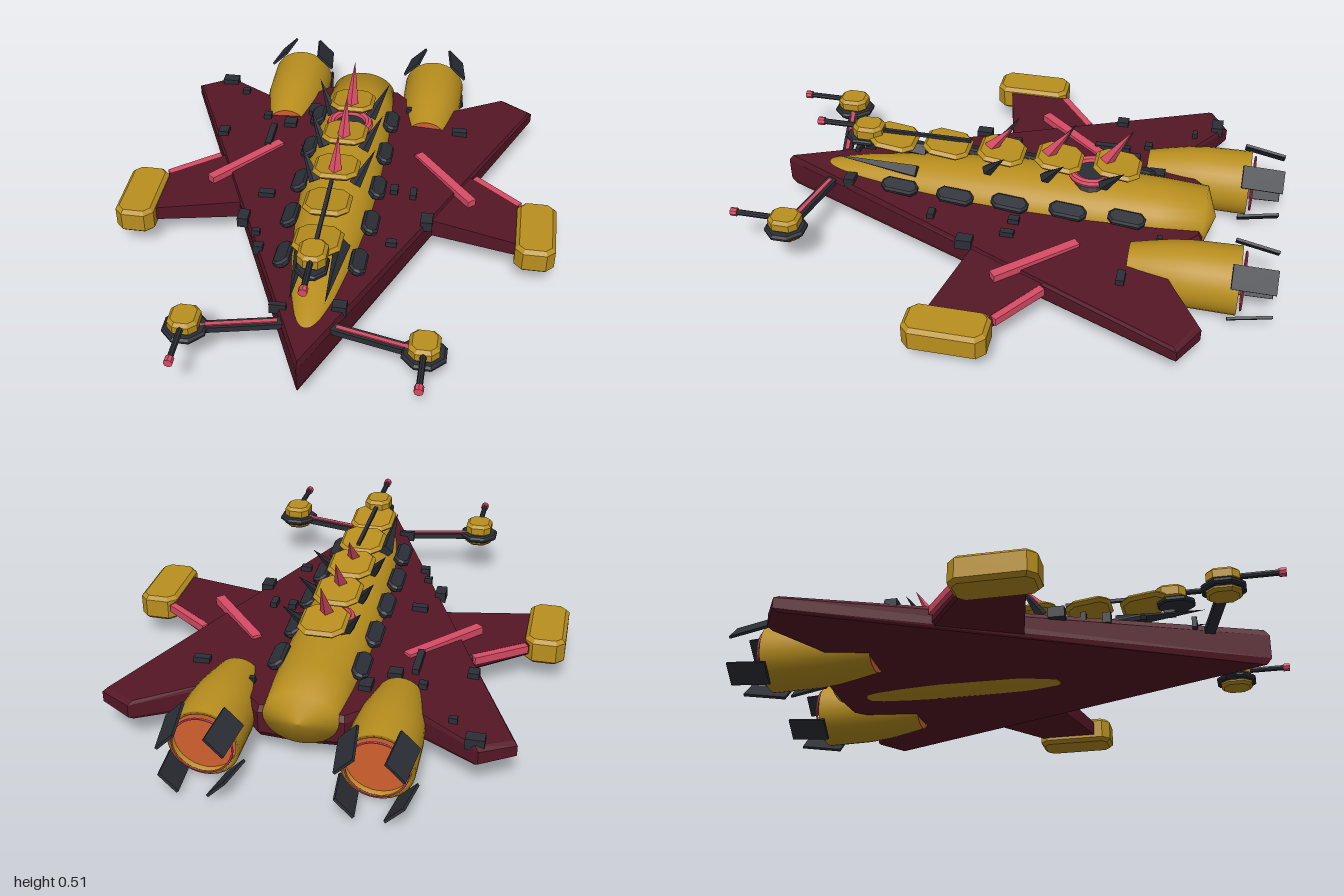
import * as THREE from 'three';

const mat = (color, extra = {}) => new THREE.MeshStandardMaterial({ color, ...extra });
const maroon = mat(0x551726, { flatShading: true });
const gold = mat(0xb98f1e, { flatShading: true });
const smoothGold = mat(0xb98f1e, { side: THREE.DoubleSide });
const dark = mat(0x2b2e36, { flatShading: true });
const pink = mat(0xd94c66, { flatShading: true });
const orange = mat(0xd0602f, { side: THREE.DoubleSide });
const V = (x, y, z) => new THREE.Vector3(x, y, z);

export function createModel() {
  const root = new THREE.Group();

  const add = (name, geo, material, x = 0, y = 0, z = 0, parent = root) => {
    const m = new THREE.Mesh(geo, material);
    m.name = name;
    m.position.set(x, y, z);
    parent.add(m);
    return m;
  };
  const box = (name, m, w, h, d, x, y, z) => add(name, new THREE.BoxGeometry(w, h, d), m, x, y, z);

  // Straight bar between two points
  const bar = (name, m, a, b, w, h) => {
    const mesh = add(name, new THREE.BoxGeometry(w, h, a.distanceTo(b)), m);
    mesh.position.copy(a).lerp(b, 0.5);
    mesh.lookAt(b);
    return mesh;
  };
  // Cone or rod from a to b
  const rod = (name, m, a, b, r0, r1, sides = 4) => {
    const g = new THREE.CylinderGeometry(r1, r0, a.distanceTo(b), sides).rotateX(Math.PI / 2);
    const mesh = add(name, g, m);
    mesh.position.copy(a).lerp(b, 0.5);
    mesh.lookAt(b);
    return mesh;
  };
  // Horizontal slab with cut corners and bevelled rims
  const slab = (name, m, w, h, d, x, y, z, bevel = 0.012, cut = 0.035) => {
    const a = w / 2, b = d / 2;
    const pts = [[a - cut, -b], [a, cut - b], [a, b - cut], [a - cut, b],
      [cut - a, b], [-a, b - cut], [-a, cut - b], [cut - a, -b]];
    const shape = new THREE.Shape(pts.map(p => new THREE.Vector2(...p)));
    const depth = h - 2 * bevel;
    const g = new THREE.ExtrudeGeometry(shape, {
      depth, bevelThickness: bevel, bevelSize: bevel, bevelOffset: -bevel, bevelSegments: 1,
    });
    g.translate(0, 0, -depth / 2).rotateX(Math.PI / 2);
    return add(name, g, m, x, y, z);
  };

  // Mirrored plate from a half outline (x, z); thickness tapers with x, rims chamfered
  const plate = (name, half, midY, thick, taper) => {
    const pos = [];
    const tri = (a, b, c) => {
      for (const p of [a, b, c]) pos.push(p.x, p.y, p.z);
      for (const p of [c, b, a]) pos.push(-p.x, p.y, p.z);
    };
    const rings = [[0.98, -1], [1, -0.65], [1, 0.65], [0.98, 1]].map(([s, k]) =>
      half.map(([x, z]) => V(x * s, midY + k * (thick - taper * x), z * s)));
    const n = half.length;
    for (let r = 0; r < 3; r++) for (let i = 0; i < n; i++) {
      const j = (i + 1) % n;
      if (half[i][0] === 0 && half[j][0] === 0) continue;
      tri(rings[r][i], rings[r][j], rings[r + 1][j]);
      tri(rings[r][i], rings[r + 1][j], rings[r + 1][i]);
    }
    const faces = THREE.ShapeUtils.triangulateShape(half.map(p => new THREE.Vector2(...p)), []);
    for (const [ring, up] of [[rings[0], -1], [rings[3], 1]]) for (const f of faces) {
      const [a, b, c] = f.map(i => ring[i]);
      const ny = (b.z - a.z) * (c.x - a.x) - (b.x - a.x) * (c.z - a.z);
      if (ny * up > 0) tri(a, b, c); else tri(a, c, b);
    }
    const g = new THREE.BufferGeometry();
    g.setAttribute('position', new THREE.Float32BufferAttribute(pos, 3));
    g.computeVertexNormals();
    return add(name, g, maroon);
  };

  // Arrowhead hull and stub wings
  plate('hull', [[0, 0.93], [0.72, -0.69], [0.6, -0.76], [0.3, -0.57], [0.15, -0.72], [0, -0.72]], 0.143, 0.069, 0.054);
  plate('stubWings', [[0.34, 0.09], [0.7, 0.175], [0.7, -0.05], [0.5, -0.2]], 0.143, 0.045, 0.025);

  // Spine fairing, running from nose to tail
  const spineProfile = [[0, -0.81], [0.022, -0.79], [0.045, -0.7], [0.063, -0.6], [0.088, -0.4], [0.105, -0.2],
    [0.114, 0], [0.116, 0.3], [0.11, 0.55], [0.1, 0.72], [0, 0.76]];
  const spine = new THREE.LatheGeometry(spineProfile.map(p => new THREE.Vector2(...p)), 32)
    .rotateX(-Math.PI / 2).scale(1.32, 1, 1);
  add('spine', spine, smoothGold, 0, 0.181, 0);

  // Floating back plates, with spikes on the rear three
  [-0.38, -0.16, 0.06, 0.27, 0.48].forEach((z, i) => {
    slab('backPlate', gold, 0.17, 0.026, 0.175, 0, 0.363, z).rotation.x = -0.13;
    if (i > 2) return;
    const h = 0.15 - 0.02 * i;
    rod('backSpike', pink, V(0, 0.37, z + 0.045), V(0, 0.37 + h, z - 0.045), 0.027, 0, 4);
    for (const s of [-1, 1])
      rod('sideClaw', dark, V(s * 0.075, 0.32, z + 0.04), V(s * 0.14, 0.43, z - 0.04), 0.024, 0, 5);
  });

  // Sensor ring amid the back plates
  add('sensorBase', new THREE.CylinderGeometry(0.06, 0.08, 0.04, 16), dark, 0, 0.3, -0.285);
  const ring = add('sensorRing', new THREE.TorusGeometry(0.075, 0.017, 8, 24), pink, 0, 0.32, -0.285);
  ring.rotation.x = Math.PI / 2;

  // Gun turret: base plates, housing and barrel
  const barrel = (x, y, z0, z1) => {
    rod('barrel', dark, V(x, y, z0), V(x, y, z1 - 0.015), 0.011, 0.011, 8);
    rod('muzzle', pink, V(x, y, z1 - 0.025), V(x, y, z1), 0.016, 0.016, 8);
  };

  // Forward turret with its rail and prow claws
  slab('turretBase', dark, 0.11, 0.022, 0.14, 0, 0.352, 0.6, 0.006);
  slab('turretHousing', gold, 0.1, 0.058, 0.115, 0, 0.388, 0.582, 0.012, 0.025);
  barrel(0, 0.397, 0.63, 0.785);
  bar('turretRail', dark, V(0, 0.39, 0.53), V(0, 0.39, 0.18), 0.014, 0.012);
  box('turretPin', dark, 0.05, 0.012, 0.04, 0, 0.315, 0.575);
  for (const s of [-1, 1])
    rod('prowClaw', dark, V(s * 0.07, 0.265, 0.38), V(s * 0.06, 0.288, 0.71), 0.03, 0, 4);

  for (const s of [-1, 1]) {
    // Outrigger turrets
    bar('outriggerArm', dark, V(s * 0.07, 0.185, 0.715), V(s * 0.38, 0.185, 0.785), 0.038, 0.022);
    bar('outriggerStripe', pink, V(s * 0.1, 0.195, 0.722), V(s * 0.36, 0.195, 0.781), 0.016, 0.012);
    slab('outriggerKeel', gold, 0.11, 0.026, 0.12, s * 0.405, 0.171, 0.79, 0.01, 0.03);
    slab('outriggerBase', dark, 0.15, 0.024, 0.15, s * 0.405, 0.189, 0.79, 0.008, 0.045);
    slab('outriggerHousing', gold, 0.105, 0.052, 0.115, s * 0.405, 0.224, 0.79, 0.012, 0.025);
    barrel(s * 0.405, 0.23, 0.84, 1);

    // Wing tip pods
    slab('wingPod', gold, 0.148, 0.1, 0.297, s * 0.757, 0.14, 0.086, 0.014, 0.03);

    // Bright wing struts
    bar('wingStrut', pink, V(s * 0.28, 0.19, -0.28), V(s * 0.51, 0.185, -0.015), 0.036, 0.036);
    bar('stubWingStrut', pink, V(s * 0.51, 0.16, -0.195), V(s * 0.69, 0.155, -0.06), 0.03, 0.03);

    // Dark armour blocks beside the spine
    [-0.44, -0.22, 0, 0.21, 0.43].forEach((z, i) => {
      const b = slab('flankBlock', dark, 0.062, 0.03, 0.14, s * (i > 3 ? 0.135 : 0.15), 0.235, z, 0.008, 0.02);
      b.rotation.set(-0.1, 0, -s * 0.35);
    });

    // Engines, open at both ends with glowing discs inside
    const engine = new THREE.Group();
    engine.name = 'engine';
    engine.position.set(s * 0.292, 0.14, 0);
    root.add(engine);
    const shell = [[0.085, 0.47], [0.1, 0.54], [0.115, 0.62], [0.123, 0.7], [0.126, 0.87], [0.112, 0.87], [0.11, 0.84]];
    add('engineShell', new THREE.LatheGeometry(shell.map(p => new THREE.Vector2(...p)), 32).rotateX(-Math.PI / 2),
      smoothGold, 0, 0, 0, engine);
    add('exhaustGlow', new THREE.CircleGeometry(0.112, 32), orange, 0, 0, -0.85, engine);
    add('intakeGlow', new THREE.CircleGeometry(0.085, 32), orange, 0, 0, -0.475, engine);
    add('exhaustRing', new THREE.TorusGeometry(0.105, 0.004, 6, 32), pink, 0, 0, -0.885, engine);
    for (let k = 0; k < 4; k++) {
      const arm = new THREE.Group();
      arm.name = 'exhaustFin';
      arm.rotation.z = Math.PI / 4 + k * Math.PI / 2;
      engine.add(arm);
      const fin = add('finBlade', new THREE.BoxGeometry(0.01, 0.088, 0.16), dark, 0.128, 0, -0.92, arm);
      fin.rotation.y = 0.17;
    }
  }

  // Small deck boxes: x, z, width, length
  const deck = [
    [-0.585, -0.72, 0.065, 0.045], [-0.5, -0.635, 0.03, 0.02], [-0.53, -0.335, 0.04, 0.045],
    [-0.37, -0.46, 0.03, 0.03], [-0.33, -0.32, 0.025, 0.14], [-0.265, -0.415, 0.05, 0.045],
    [-0.18, -0.515, 0.045, 0.06], [-0.27, 0.06, 0.06, 0.03], [-0.33, 0.205, 0.04, 0.06],
    [-0.265, 0.29, 0.03, 0.02], [-0.24, 0.37, 0.035, 0.03], [-0.11, 0.67, 0.06, 0.018],
    [0.43, -0.46, 0.06, 0.03], [0.21, -0.57, 0.02, 0.02], [0.285, -0.02, 0.025, 0.05],
    [0.35, 0.125, 0.045, 0.06], [0.21, -0.03, 0.03, 0.04], [0.235, 0.28, 0.04, 0.025], [0.1, 0.64, 0.05, 0.04],
  ];
  for (const [x, z, w, d] of deck)
    box('deckBox', dark, w, 0.04, d, x, 0.212 - 0.054 * Math.abs(x), z);

  return root;
}
